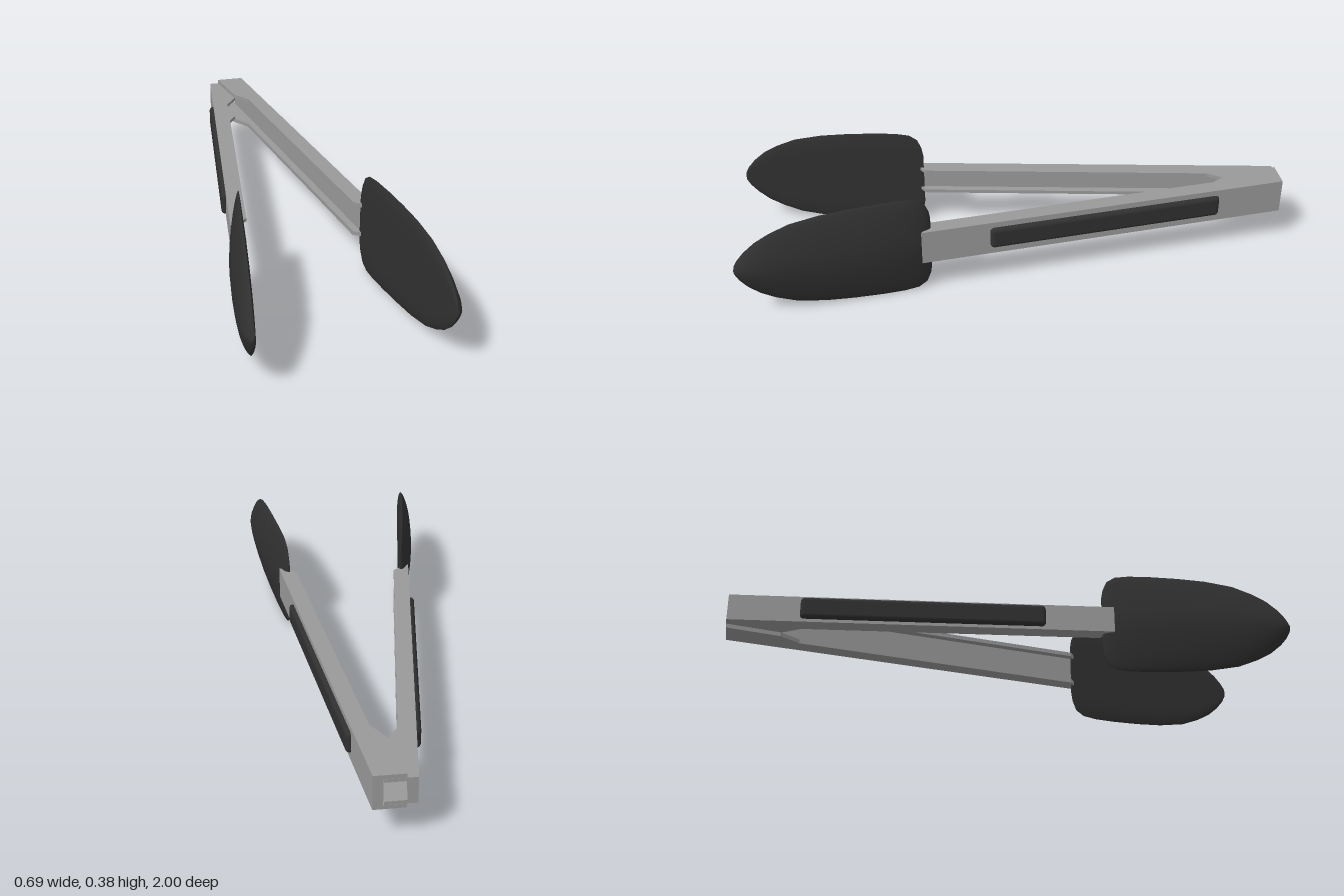
import * as THREE from 'three';
import { RoundedBoxGeometry } from 'three/addons/geometries/RoundedBoxGeometry.js';

const MID_Y = 0.194;      // height of the centre line
const SLOPE = 0.1375;     // how far each arm spreads per unit of z

const steel = new THREE.MeshStandardMaterial({ color: 0x999999 });
steel.name = 'brushed steel';
const rubber = new THREE.MeshStandardMaterial({ color: 0x303030 });
rubber.name = 'black silicone';

function add(parent, name, geometry, material) {
  const mesh = new THREE.Mesh(geometry, material);
  mesh.name = name;
  parent.add(mesh);
  return mesh;
}

// Plan outline given as [x, z] points, raised from y0 to y1
function plate(points, side, y0, y1) {
  const shape = new THREE.Shape(points.map(([x, z]) => new THREE.Vector2(side * x, -z)));
  const geo = new THREE.ExtrudeGeometry(shape, { depth: y1 - y0, bevelEnabled: false });
  geo.rotateX(-Math.PI / 2);
  geo.translate(0, MID_Y + y0, 0);
  return geo;
}

// Domed paddle: [z, half height, thickness] sections, flat on the gripping face
const sections = [
  [0.320, 0, 0], [0.320, 0.10, 0.012], [0.325, 0.13, 0.020], [0.34, 0.165, 0.028],
  [0.37, 0.184, 0.036], [0.42, 0.190, 0.043], [0.50, 0.190, 0.050], [0.60, 0.186, 0.054],
  [0.70, 0.178, 0.055], [0.80, 0.160, 0.053], [0.87, 0.132, 0.050], [0.92, 0.104, 0.044],
  [0.96, 0.070, 0.036], [0.985, 0.040, 0.025], [0.998, 0.016, 0.014], [1.0, 0, 0],
];

function paddleGeometry(side) {
  const n = 32;
  const positions = [];
  const index = [];
  for (const [z, h, t] of sections) {
    const inner = 0.217 + 0.142 * (z - 0.33) + (t === 0 ? 0.007 : 0);
    for (let i = 0; i < n; i++) {
      const a = (i / n) * Math.PI * 2;
      const u = Math.abs(Math.cos(a));
      const rim = 0.18 * t;
      const dome = rim + (t - rim) * (0.6 * (1 - u ** 1.5) + 0.4 * Math.abs(Math.sin(a)));
      const x = i <= n / 2 ? dome : rim * u ** 8;
      positions.push(side * (inner + x), MID_Y + h * Math.cos(a), z);
    }
  }
  for (let s = 0; s < sections.length - 1; s++) {
    for (let i = 0; i < n; i++) {
      const a = s * n + i;
      const b = s * n + (i + 1) % n;
      const c = a + n;
      const d = b + n;
      if (side > 0) index.push(a, c, b, b, c, d);
      else index.push(a, b, c, b, d, c);
    }
  }
  const geo = new THREE.BufferGeometry();
  geo.setAttribute('position', new THREE.Float32BufferAttribute(positions, 3));
  geo.setIndex(index);
  geo.computeVertexNormals();
  return geo;
}

// One half of the tongs; the right half nests inside the left at the hinge
function tongArm(side, name, outer, inner) {
  const arm = new THREE.Group();
  arm.name = name;

  // Channel: thick outer wall with a flange above and below
  const wall = [[0.07, -1], [0.256, 0.355], [0.221, 0.335], [0.037, -1]];
  const flange = [
    [0.07, -1], [0.256, 0.355], [0.205, 0.325], [0.192, 0.315],
    [0.045, -0.74], [-0.002, -0.81], [-0.035, -1],
  ];
  add(arm, 'armWall', plate(wall, side, -inner, inner), steel);
  add(arm, 'upperFlange', plate(flange, side, inner, outer), steel);
  add(arm, 'lowerFlange', plate(flange, side, -outer, -inner), steel);

  // Soft grip pad on the outside of the arm
  const pad = add(arm, 'gripPad', new RoundedBoxGeometry(0.032, 0.08, 0.868, 4, 0.015), rubber);
  pad.position.set(side * (0.07 + SLOPE * 0.68), MID_Y + 0.003, -0.32);
  pad.rotation.y = side * Math.atan(SLOPE);

  add(arm, 'paddle', paddleGeometry(side), rubber);
  return arm;
}

export function createModel() {
  const model = new THREE.Group();
  model.name = 'kitchenTongs';
  model.add(tongArm(1, 'leftArm', 0.064, 0.049));
  model.add(tongArm(-1, 'rightArm', 0.0485, 0.036));
  return model;
}
